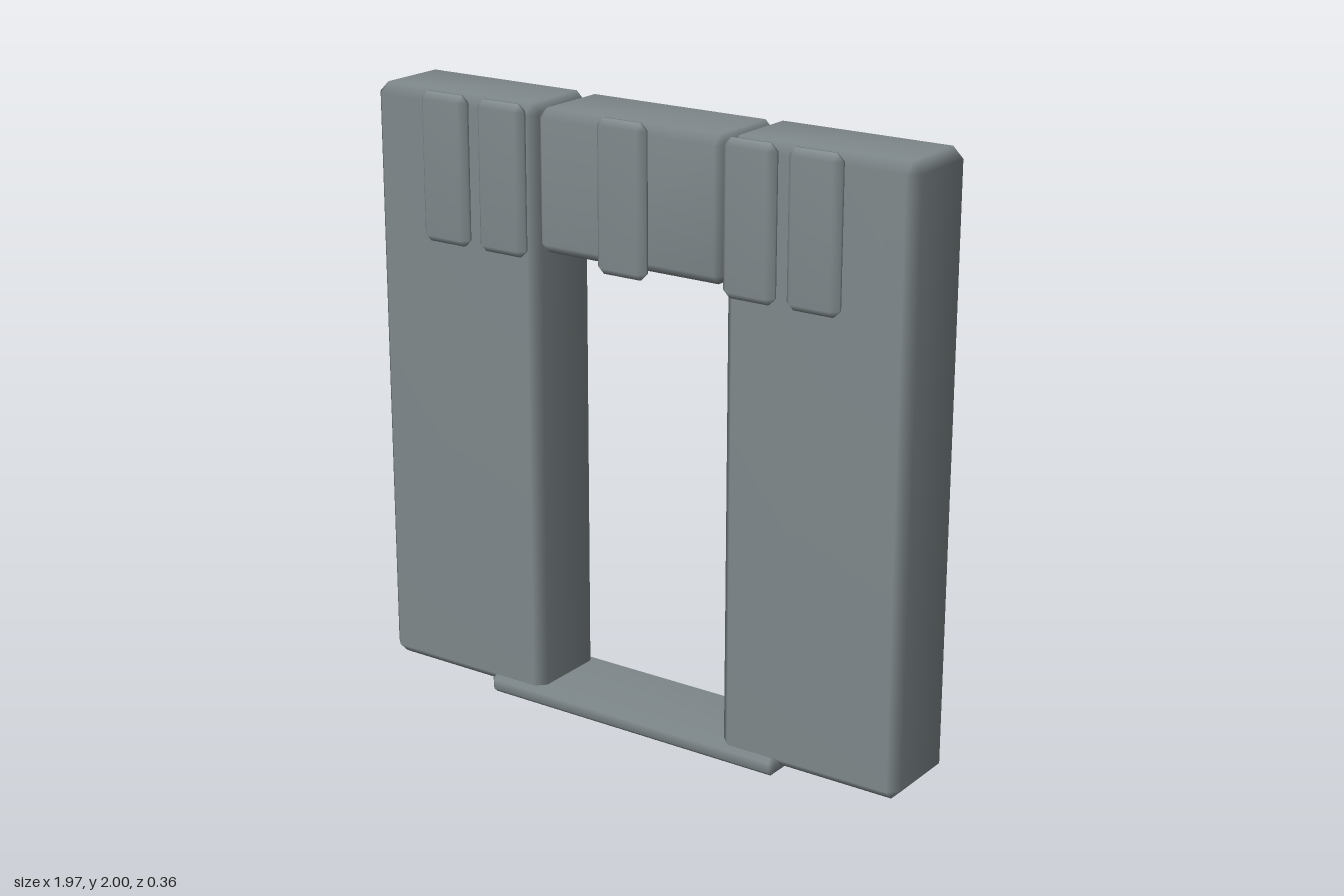
import * as THREE from 'three';
import { ConvexGeometry } from 'three/addons/geometries/ConvexGeometry.js';
import { mergeVertices } from 'three/addons/utils/BufferGeometryUtils.js';

// Box with a single chamfer c on every edge, shaded smooth
function chamferBox(min, max, c) {
  const h = min.map((v, i) => (max[i] - v) / 2);
  const points = [];
  for (const sx of [-1, 1]) for (const sy of [-1, 1]) for (const sz of [-1, 1]) {
    for (let axis = 0; axis < 3; axis++) {
      const p = h.map((v, i) => (i === axis ? v : v - c));
      points.push(new THREE.Vector3(p[0] * sx, p[1] * sy, p[2] * sz));
    }
  }
  let geometry = new ConvexGeometry(points);
  geometry.deleteAttribute('normal');
  geometry = mergeVertices(geometry, 1e-4);
  geometry.computeVertexNormals();
  geometry.translate(min[0] + h[0], min[1] + h[1], min[2] + h[2]);
  return geometry;
}

export function createModel() {
  const model = new THREE.Group();
  model.name = 'doorFrame';
  const stone = new THREE.MeshStandardMaterial({ color: 0x7f888b });
  stone.name = 'grey stone';

  const add = (name, min, max, chamfer) => {
    const mesh = new THREE.Mesh(chamferBox(min, max, chamfer), stone);
    mesh.name = name;
    model.add(mesh);
  };

  // Pillars
  add('leftPillar', [0.345, 0.03, -0.168], [0.985, 1.995, 0.132], 0.034);
  add('rightPillar', [-0.988, 0.03, -0.168], [-0.348, 1.995, 0.132], 0.034);

  // Lintel and threshold
  add('lintel', [-0.347, 1.537, -0.17], [0.344, 1.99, 0.134], 0.03);
  add('threshold', [-0.553, 0, -0.178], [0.553, 0.06, 0.143], 0.014);

  // Raised plates across the top of the front
  [-0.677, -0.455, 0, 0.455, 0.675].forEach((x, i) => {
    add(`frontPlate${i + 1}`, [x - 0.089, 1.52, 0.127], [x + 0.089, 2, 0.18], 0.022);
  });

  return model;
}
